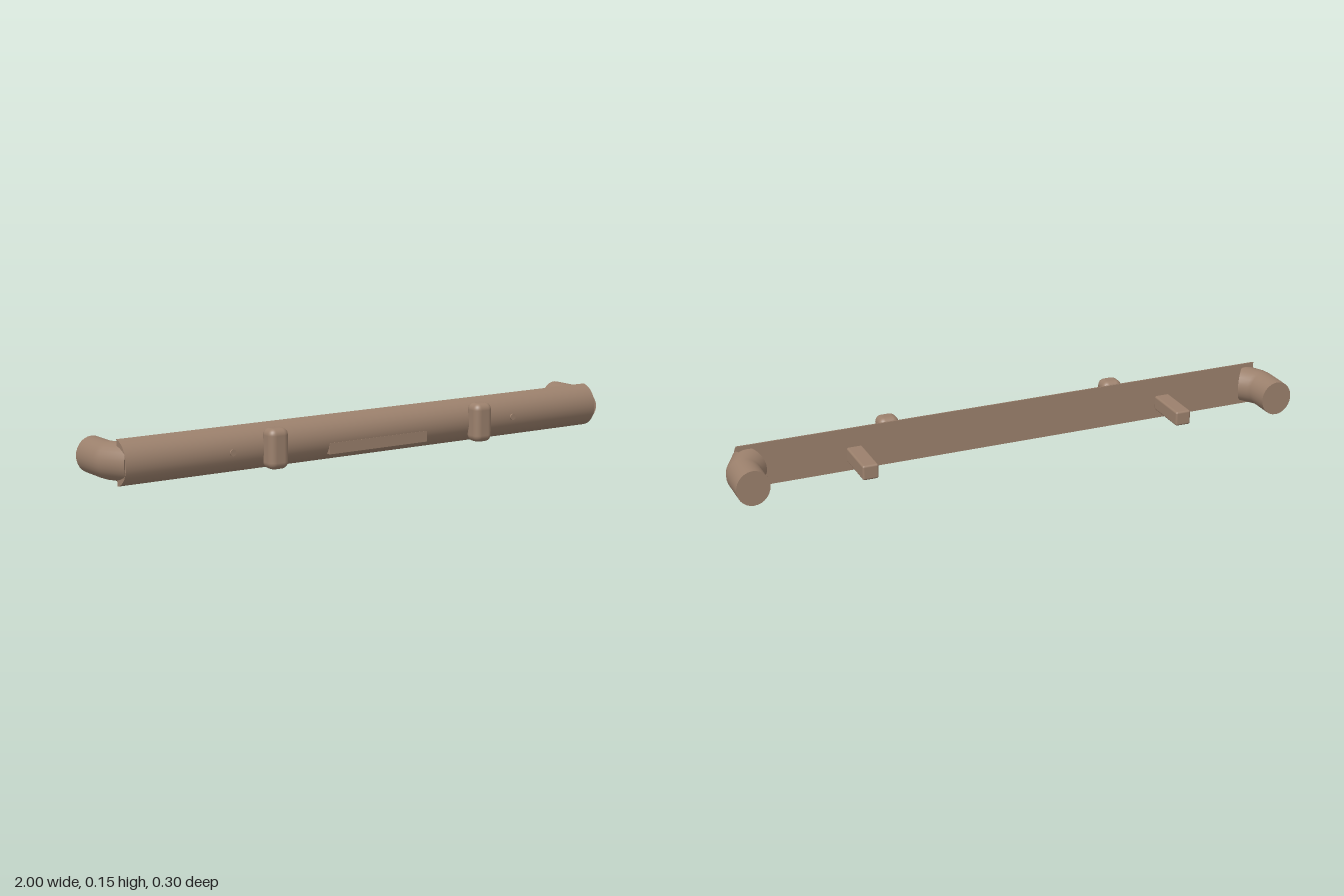
import * as THREE from 'three';
import { toCreasedNormals } from 'three/addons/utils/BufferGeometryUtils.js';
import { RoundedBoxGeometry } from 'three/addons/geometries/RoundedBoxGeometry.js';

const MID = 0.075; // height of the bar's centre line

// Bent pipe swept through rings given as inner and outer (x, z) points; side = 1 or -1
function bentPipe(side) {
  const rings = [
    { inner: [0.888, -0.122], outer: [1.0, -0.122], ry: 0.06 },
    { inner: [0.888, -0.035], outer: [1.0, -0.005], ry: 0.06 },
    { inner: [0.882, -0.022], outer: [0.995, 0.018], ry: 0.061 },
    { inner: [0.862, 0.006], outer: [0.95, 0.108], ry: 0.062 },
  ];
  const n = 28, pos = [], idx = [];
  const centre = (r) => [side * (r.inner[0] + r.outer[0]) / 2, MID, (r.inner[1] + r.outer[1]) / 2];
  for (const r of rings) {
    const c = centre(r);
    const hx = (r.outer[0] - r.inner[0]) / 2, hz = (r.outer[1] - r.inner[1]) / 2;
    for (let j = 0; j < n; j++) {
      const a = (j / n) * Math.PI * 2;
      pos.push(c[0] + side * hx * Math.cos(a), MID + r.ry * Math.sin(a), c[2] + hz * Math.cos(a));
    }
  }
  const tri = (a, b, c) => (side > 0 ? idx.push(a, b, c) : idx.push(a, c, b));
  const last = (rings.length - 1) * n, back = rings.length * n, front = back + 1;
  pos.push(...centre(rings[0]), ...centre(rings[rings.length - 1]));
  for (let j = 0; j < n; j++) {
    const k = (j + 1) % n;
    for (let i = 0; i < last; i += n) {
      tri(i + j, i + k, i + n + k);
      tri(i + j, i + n + k, i + n + j);
    }
    tri(back, k, j);
    tri(front, last + j, last + k);
  }
  const g = new THREE.BufferGeometry();
  g.setAttribute('position', new THREE.Float32BufferAttribute(pos, 3));
  g.setIndex(idx);
  return toCreasedNormals(g, 0.75);
}

// Long bar with a rounded front and a flat back
function barGeometry() {
  const backZ = 0.046, frontZ = 0.108, half = 0.075;
  const depth = frontZ - backZ;
  const radius = (depth * depth + half * half) / (2 * depth);
  const sweep = Math.asin(half / radius);
  const shape = new THREE.Shape();
  const n = 14;
  for (let i = 0; i <= n; i++) {
    const a = -sweep + (2 * sweep * i) / n;
    const z = frontZ - radius + radius * Math.cos(a), y = MID + radius * Math.sin(a);
    if (i) shape.lineTo(z, y);
    else shape.moveTo(z, y);
  }
  shape.closePath();
  const g = new THREE.ExtrudeGeometry(shape, { depth: 1.886, bevelEnabled: false });
  g.rotateY(-Math.PI / 2);
  g.translate(0.943, 0, 0);
  return toCreasedNormals(g, 0.6);
}

export function createModel() {
  const group = new THREE.Group();
  group.name = 'bumper';
  const paint = new THREE.MeshStandardMaterial({ color: 0x9b806c });
  paint.name = 'brown';

  const add = (name, geometry, x = 0, y = 0, z = 0) => {
    const m = new THREE.Mesh(geometry, paint);
    m.name = name;
    m.position.set(x, y, z);
    group.add(m);
    return m;
  };

  add('bar', barGeometry());
  // Plate holder low on the front
  add('plateHolder', new THREE.BoxGeometry(0.395, 0.037, 0.05), 0, 0.046, 0.083);

  for (const side of [1, -1]) {
    const label = side > 0 ? 'left' : 'right';
    add(label + 'EndPipe', bentPipe(side));
    // Upright rubbing guards
    add(label + 'Guard', new RoundedBoxGeometry(0.073, 0.134, 0.066, 4, 0.023), side * 0.412, MID, 0.118);
    // Mounting brackets behind the bar
    add(label + 'Bracket', new RoundedBoxGeometry(0.055, 0.051, 0.166, 2, 0.007), side * 0.563, MID - 0.001, -0.068);
    // Small bolt heads
    const bolt = add(label + 'Bolt', new THREE.CylinderGeometry(0.011, 0.011, 0.02, 12), side * 0.565, MID, 0.103);
    bolt.rotation.x = Math.PI / 2;
  }
  return group;
}
